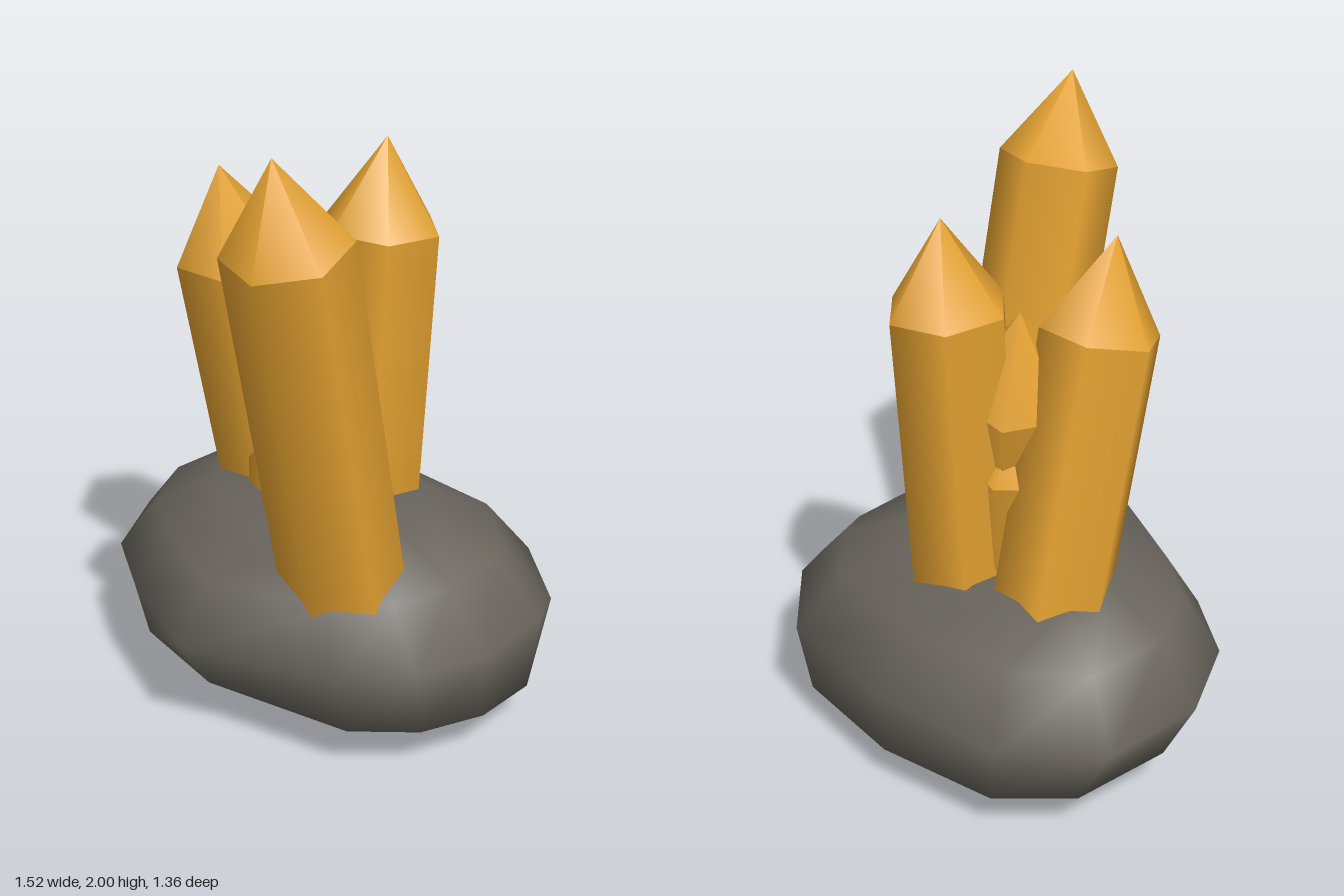
import * as THREE from 'three';

const UP = new THREE.Vector3(0, 1, 0);

// Hexagonal prism with a pointed cap, running from root through shoulder to tip
function makeCrystal(name, material, { shoulder, tip, length, twist }) {
  const radius = 0.195;
  const centre = new THREE.Vector3(...shoulder);
  const axis = new THREE.Vector3(...tip).sub(centre);
  const capHeight = axis.length();
  const start = THREE.MathUtils.degToRad(twist);

  const shaft = new THREE.Mesh(
    new THREE.CylinderGeometry(radius, radius, length, 6, 1, false, start), material);
  shaft.name = name + 'Shaft';
  shaft.position.y = -length / 2;

  const cap = new THREE.Mesh(
    new THREE.ConeGeometry(radius, capHeight, 6, 1, true, start), material);
  cap.name = name + 'Tip';
  cap.position.y = capHeight / 2;

  const crystal = new THREE.Group();
  crystal.name = name;
  crystal.add(shaft, cap);
  crystal.position.copy(centre);
  crystal.quaternion.setFromUnitVectors(UP, axis.normalize());
  return crystal;
}

// Smooth lumpy boulder lofted through scaled copies of a waist and a lower outline
function makeRockGeometry() {
  const waist = [
    [0, 0.61], [0.5, 0.46], [0.67, 0.275], [0.76, 0.04], [0.755, -0.26], [0.71, -0.385], [0.46, -0.62],
    [0, -0.68], [-0.47, -0.625], [-0.73, -0.395], [-0.76, -0.04], [-0.615, 0.25], [-0.38, 0.42],
  ];
  const lower = [
    [0, 0.48], [0.5, 0.4], [0.67, 0.25], [0.755, 0.04], [0.755, -0.2], [0.64, -0.36], [0.42, -0.6],
    [0, -0.66], [-0.42, -0.6], [-0.62, -0.42], [-0.67, -0.08], [-0.55, 0.2], [-0.36, 0.38],
  ];
  // outline, height, scale x, scale z, offset x, offset z, slope along x, slope along z
  const levels = [
    [waist, 0.026, 0.48, 0.52, 0.1, -0.06, -0.035, 0.06],
    [lower, 0.155, 1, 1, 0, 0, -0.015, 0.03],
    [waist, 0.36, 1, 1, 0, 0, 0, 0],
    [waist, 0.545, 0.8, 0.8, 0, 0, 0, 0],
    [waist, 0.645, 0.52, 0.47, 0, -0.03, -0.02, -0.01],
  ];
  const n = waist.length;
  const points = [];
  const faces = [];
  for (const [outline, y, sx, sz, ox, oz, kx, kz] of levels) {
    for (const [px, pz] of outline) {
      const x = px * sx + ox, z = pz * sz + oz;
      points.push(x, Math.max(0.003, y + kx * x + kz * z), z);
    }
  }
  const bottom = points.length / 3;
  points.push(0.12, 0, -0.12, 0, 0.677, -0.03);
  const lastRing = (levels.length - 1) * n;
  for (let i = 0; i < n; i++) {
    const j = (i + 1) % n;
    faces.push(bottom, j, i, bottom + 1, lastRing + i, lastRing + j);
    for (let k = 0; k < lastRing; k += n) {
      faces.push(k + i, k + j, k + n + j, k + i, k + n + j, k + n + i);
    }
  }
  const geometry = new THREE.BufferGeometry();
  geometry.setAttribute('position', new THREE.Float32BufferAttribute(points, 3));
  geometry.setIndex(faces);
  geometry.computeVertexNormals();
  return geometry;
}

export function createModel() {
  const amber = new THREE.MeshStandardMaterial({ color: 0xe3a131 });
  amber.name = 'amber';
  const stone = new THREE.MeshStandardMaterial({ color: 0x68645c });
  stone.name = 'stone';

  const model = new THREE.Group();
  model.name = 'crystalCluster';

  const rock = new THREE.Mesh(makeRockGeometry(), stone);
  rock.name = 'baseRock';
  model.add(rock);

  // Leaning crystals, rooted inside the rock
  const crystals = {
    frontCrystal: { shoulder: [0.347, 1.72, 0.495], tip: [0.352, 2, 0.562], length: 1.36, twist: 10 },
    rightCrystal: { shoulder: [-0.25, 1.455, 0.051], tip: [-0.25, 1.748, 0.12], length: 1.08, twist: 30 },
    backCrystal: { shoulder: [0.088, 1.527, -0.26], tip: [0.098, 1.818, -0.271], length: 1.1, twist: 45 },
    middleCrystal: { shoulder: [-0.062, 1.24, -0.108], tip: [-0.115, 1.545, -0.155], length: 0.86, twist: 30 },
    shortCrystal: { shoulder: [-0.08, 1.01, -0.1], tip: [-0.1, 1.26, -0.12], length: 0.6, twist: 15 },
  };
  for (const [name, spec] of Object.entries(crystals)) {
    model.add(makeCrystal(name, amber, spec));
  }
  return model;
}
